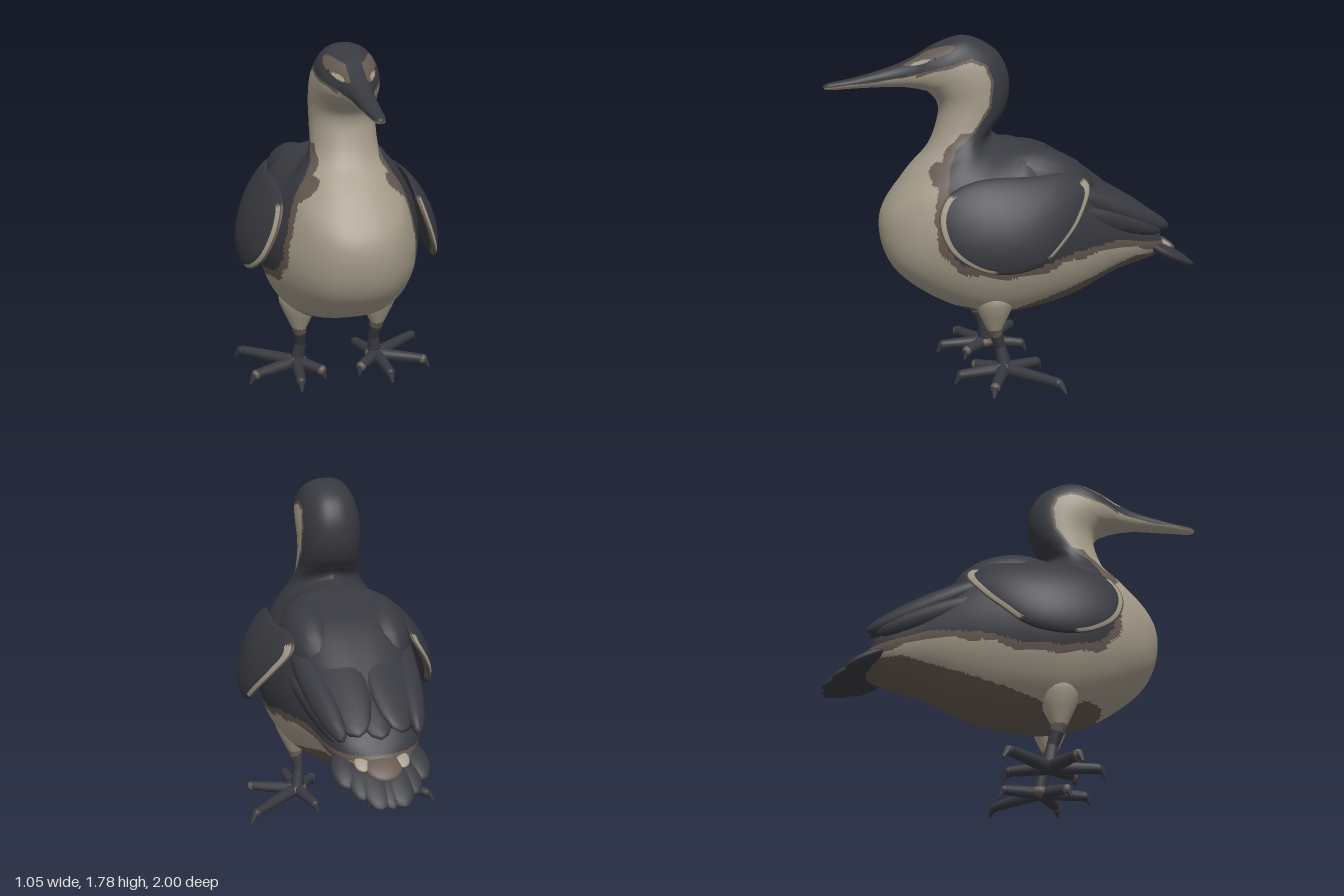
import * as THREE from 'three';

const mat = (name, color) => {
  const m = new THREE.MeshStandardMaterial({ color });
  m.name = name;
  return m;
};
const tan = mat('tan plumage', 0xa39a89);
const brown = mat('brown border', 0x64584f);
const dark = mat('dark plumage', 0x38393f);
const black = mat('eye black', 0x1e1e22);
const PALETTE = [tan, brown, dark];

// Body stations from tail to beak: back z, back y, front z, front y, half width
const STATIONS = [
  [-0.84, 0.62, -0.84, 0.62, 0.005],
  [-0.72, 0.78, -0.74, 0.57, 0.19],
  [-0.5, 0.97, -0.5, 0.5, 0.28],
  [-0.25, 1.15, -0.25, 0.39, 0.36],
  [0, 1.24, 0, 0.345, 0.41],
  [0.06, 1.253, 0.25, 0.35, 0.42],
  [0.1, 1.262, 0.5, 0.45, 0.39],
  [0.125, 1.272, 0.69, 0.62, 0.33],
  [0.138, 1.285, 0.735, 0.86, 0.265],
  [0.142, 1.305, 0.61, 1.07, 0.205],
  [0.12, 1.34, 0.48, 1.22, 0.172],
  [0.08, 1.4, 0.425, 1.36, 0.165],
  [0.055, 1.5, 0.425, 1.44, 0.165],
  [0.07, 1.62, 0.47, 1.495, 0.166],
  [0.14, 1.72, 0.51, 1.51, 0.16],
  [0.28, 1.78, 0.53, 1.515, 0.145],
  [0.42, 1.745, 0.56, 1.52, 0.115],
  [0.54, 1.68, 0.6, 1.525, 0.08],
  [0.66, 1.63, 0.68, 1.528, 0.055],
  [0.84, 1.58, 0.84, 1.525, 0.04],
  [0.97, 1.555, 0.97, 1.52, 0.026],
  [1, 1.537, 1, 1.533, 0.004],
];

// Side outline (z, y) of the dark upper plumage
const DARK_AREA = [
  [1.05, 1.535], [0.95, 1.54], [0.75, 1.56], [0.6, 1.582], [0.5, 1.61], [0.4, 1.635], [0.28, 1.67],
  [0.2, 1.64], [0.165, 1.55], [0.185, 1.42], [0.27, 1.3], [0.37, 1.22], [0.41, 1.14], [0.43, 1.05],
  [0.47, 0.9], [0.45, 0.75], [0.38, 0.67], [0.2, 0.63], [0, 0.64], [-0.2, 0.7], [-0.45, 0.73],
  [-0.75, 0.68], [-1, 0.66], [-1, 2], [1.05, 2],
];

// Distance to an outline, negative inside
function outlineDistance(px, py, poly) {
  let best = Infinity, inside = false;
  poly.forEach(([ax, ay], i) => {
    const [bx, by] = poly[(i + 1) % poly.length];
    const dx = bx - ax, dy = by - ay;
    const t = Math.min(1, Math.max(0, ((px - ax) * dx + (py - ay) * dy) / (dx * dx + dy * dy)));
    best = Math.min(best, Math.hypot(px - ax - t * dx, py - ay - t * dy));
    if ((ay > py) !== (by > py) && px < ax + ((py - ay) / dy) * dx) inside = !inside;
  });
  return inside ? -best : best;
}

// Plumage zone at a point: 0 tan, 1 brown, 2 dark
function plumage(x, y, z) {
  const spot = (z0, y0, a, b, slope) =>
    ((z - z0) / a) ** 2 + ((y - y0 + (z - z0) * slope) / b) ** 2 < 1;
  if (Math.abs(x) > 0.04 && y > 1.5) {
    if (spot(0.525, 1.652, 0.045, 0.009, 0.3)) return 0; // eye streak
    if (spot(0.48, 1.685, 0.125, 0.024, 0.35)) return 1; // brow
  }
  if (z < 0.3 && y < Math.min(0.62, 0.42 - z * 0.34)) return 1; // belly
  if (Math.abs(x) < 0.22 && z < 0.45 && y < 0.41) return 1;
  const d = outlineDistance(z, y, DARK_AREA);
  if (d > 0 && spot(0.45, 1.1, 0.06, 0.065, 0)) return 1; // shoulder patch
  const width = y < 1.3 ? 0.038 : z > 0.55 ? 0.005 : 0.015;
  const border = width * (1 + 0.3 * Math.sin(z * 31) * Math.sin(y * 27));
  return d < 0 ? 2 : d < border ? 1 : 0;
}

// Closed grid surface with one palette colour per triangle
function gridMesh(name, nu, nv, point, zone, flip) {
  const pos = [], uv = [], lists = [[], [], []];
  for (let j = 0; j <= nv; j++)
    for (let i = 0; i < nu; i++) {
      pos.push(point(i / nu, j / nv));
      uv.push([i / nu, j / nv]);
    }
  const addFace = (...f) => {
    const mid = [0, 1, 2].map((k) => f.reduce((sum, n) => sum + pos[n][k], 0) / 3);
    const list = lists[zone(...mid, ...uv[f[0]])];
    list.push(...(flip ? [f[0], f[2], f[1]] : f));
  };
  for (let j = 0; j < nv; j++)
    for (let i = 0; i < nu; i++) {
      const a = j * nu + i, b = j * nu + ((i + 1) % nu), c = a + nu, d = b + nu;
      addFace(a, c, b);
      addFace(b, c, d);
    }
  const g = new THREE.BufferGeometry();
  g.setAttribute('position', new THREE.Float32BufferAttribute(pos.flat(), 3));
  g.setIndex(lists.flat());
  let start = 0;
  lists.forEach((l, k) => {
    if (l.length) g.addGroup(start, l.length, k);
    start += l.length;
  });
  g.computeVertexNormals();
  const m = new THREE.Mesh(g, PALETTE);
  m.name = name;
  return m;
}

function makeBody() {
  const curve = (f) => new THREE.CatmullRomCurve3(STATIONS.map(f), false, 'catmullrom', 0.5);
  const back = curve((s) => new THREE.Vector3(s[0], s[1], s[4]));
  const front = curve((s) => new THREE.Vector3(s[2], s[3], 0));
  const bump = (v, at, width) => Math.exp(-(((v - at) / width) ** 2));
  const point = (u, v) => {
    const b = back.getPoint(v), f = front.getPoint(v);
    const c = Math.cos(u * Math.PI * 2), s = Math.sin(u * Math.PI * 2);
    const k = (1 + c) / 2;
    // Broad shoulders and hips, tucked in where the neck rises
    const upper = 0.8 * bump(v, 0.37, 0.09) - 0.22 * bump(v, 0.17, 0.07);
    const lower = -0.22 * bump(v, 0.22, 0.06);
    const power = 0.85 + Math.abs(c) * (c > 0 ? upper : lower);
    const x = Math.max(0.001, b.z) * Math.sign(s) * Math.abs(s) ** power;
    return [x, f.y + (b.y - f.y) * k, f.x + (b.x - f.x) * k];
  };
  return gridMesh('body', 144, 260, point, plumage, false);
}

// Wing: curved plate, bulging outwards and hanging free at its lower edge
function makeWing(side) {
  const pts = [
    [0.5, 0.91], [0.45, 1.02], [0.3, 1.09], [0, 1.1], [-0.2, 1.1], [-0.29, 1.04], [-0.22, 0.9],
    [-0.12, 0.79], [0, 0.69], [0.15, 0.65], [0.32, 0.67], [0.46, 0.77],
  ].map(([z, y]) => new THREE.Vector3(0, y, z));
  const rim = new THREE.CatmullRomCurve3(pts, true);
  const point = (u, v) => {
    const p = rim.getPoint(u), s = Math.sin(v * Math.PI);
    const y = 0.89 + (p.y - 0.89) * s, z = 0.11 + (p.z - 0.11) * s;
    const x = 0.35 + 0.15 * (1 - ((y - 0.66) / 0.44) ** 2) - 0.5 * (z - 0.1) ** 2;
    return [side * (x + 0.04 * Math.cos(v * Math.PI)), y, z];
  };
  const zone = (x, y, z, u, v) => {
    const s = Math.sin(v * Math.PI);
    const rear = u > 0.38 && u < 0.64, fore = u > 0.8 || u < 0.09;
    if (!(rear && s > 0.87) && !(fore && s > 0.92)) return 2;
    return v < 0.5 && s < 0.98 ? 0 : 1;
  };
  return gridMesh('wing', 72, 48, point, zone, side > 0);
}

function feather(name, material, position, scale, rotation) {
  const m = new THREE.Mesh(new THREE.SphereGeometry(1, 20, 12), material);
  m.name = name;
  m.position.set(...position);
  m.scale.set(...scale);
  m.rotation.set(...rotation);
  return m;
}

// Tapered rod between two points
function rod(name, material, a, b, ra, rb) {
  const p = new THREE.Vector3(...a), q = new THREE.Vector3(...b);
  const m = new THREE.Mesh(new THREE.CylinderGeometry(rb, ra, p.distanceTo(q), 12), material);
  m.name = name;
  m.position.copy(p).add(q).multiplyScalar(0.5);
  m.quaternion.setFromUnitVectors(new THREE.Vector3(0, 1, 0), q.sub(p).normalize());
  return m;
}

function makeLeg(s) {
  const g = new THREE.Group();
  g.name = 'leg';
  const profile = [[0.036, 0], [0.05, 0.03], [0.078, 0.09], [0.105, 0.155], [0.112, 0.22], [0, 0.32]];
  const thigh = new THREE.Mesh(new THREE.LatheGeometry(profile.map((p) => new THREE.Vector2(...p)), 24), tan);
  thigh.name = 'thigh';
  thigh.position.set(s * 0.212, 0.27, 0.185);
  g.add(thigh);
  g.add(rod('knee', brown, [s * 0.213, 0.29, 0.185], [s * 0.207, 0.245, 0.175], 0.042, 0.036));
  g.add(rod('shank', dark, [s * 0.208, 0.26, 0.178], [s * 0.2, 0.17, 0.15], 0.037, 0.028));
  g.add(rod('ankle', dark, [s * 0.2, 0.18, 0.152], [s * 0.215, 0.06, 0.13], 0.028, 0.04));
  g.add(feather('footPad', brown, [s * 0.22, 0.062, 0.135], [0.06, 0.034, 0.06], [0, 0, 0]));
  // Toes fan around the pad, each ending in a hooked claw
  [[0.5, -0.095], [0.47, 0.25], [0.24, 0.385], [0.1, 0.27], [0.15, -0.07]].forEach(([x, z], i) => {
    const at = (t, y) => [s * (0.22 + (x - 0.22) * t), y, 0.135 + (z - 0.135) * t];
    g.add(rod('toe', dark, at(0, 0.06), at(0.94, 0.055), 0.035, 0.025));
    g.add(feather('toeTip', i % 2 ? brown : dark, at(0.93, 0.053), [0.026, 0.026, 0.026], [0, 0, 0]));
    g.add(rod('claw', dark, at(0.96, 0.055), at(1.07, 0.008), 0.022, 0.006));
  });
  return g;
}

export function createModel() {
  const model = new THREE.Group();
  model.name = 'bird';
  model.add(makeBody());
  for (const s of [1, -1]) {
    model.add(makeWing(s), makeLeg(s));
    model.add(feather('eye', black, [s * 0.105, 1.66, 0.445], [0.015, 0.022, 0.022], [0, 0, 0]));
    // Shoulder and folded flight feathers over the back
    model.add(feather('shoulder', dark, [s * 0.19, 1.02, -0.08], [0.15, 0.19, 0.29], [-0.25, 0, 0]));
    model.add(feather('backFeather', dark, [s * 0.13, 0.98, -0.37], [0.14, 0.05, 0.46], [-0.48, s * 0.06, -s * 0.25]));
    model.add(feather('flightFeather', dark, [s * 0.235, 0.9, -0.45], [0.07, 0.06, 0.37], [-0.4, s * 0.14, -s * 0.7]));
    model.add(feather('lowerFlightFeather', dark, [s * 0.27, 0.83, -0.42], [0.04, 0.06, 0.33], [-0.28, s * 0.18, -s * 0.3]));
    // Tail fan
    model.add(feather('innerTailFeather', dark, [s * 0.055, 0.58, -0.85], [0.08, 0.03, 0.17], [-0.52, 0, 0]));
    model.add(feather('middleTailFeather', dark, [s * 0.11, 0.595, -0.81], [0.07, 0.03, 0.15], [-0.5, -s * 0.1, 0]));
    model.add(feather('outerTailFeather', dark, [s * 0.17, 0.615, -0.77], [0.07, 0.03, 0.12], [-0.5, -s * 0.1, 0]));
    model.add(feather('tailSpot', tan, [s * 0.095, 0.645, -0.8], [0.04, 0.014, 0.05], [-0.5, 0, 0]));
  }
  model.add(feather('middleBackFeather', dark, [0, 0.965, -0.37], [0.13, 0.05, 0.47], [-0.48, 0, 0]));
  model.add(feather('tailCentre', dark, [0, 0.57, -0.86], [0.06, 0.03, 0.158], [-0.52, 0, 0]));
  model.add(feather('tailCovert', brown, [0, 0.63, -0.825], [0.09, 0.024, 0.085], [-0.52, 0, 0]));
  return model;
}
